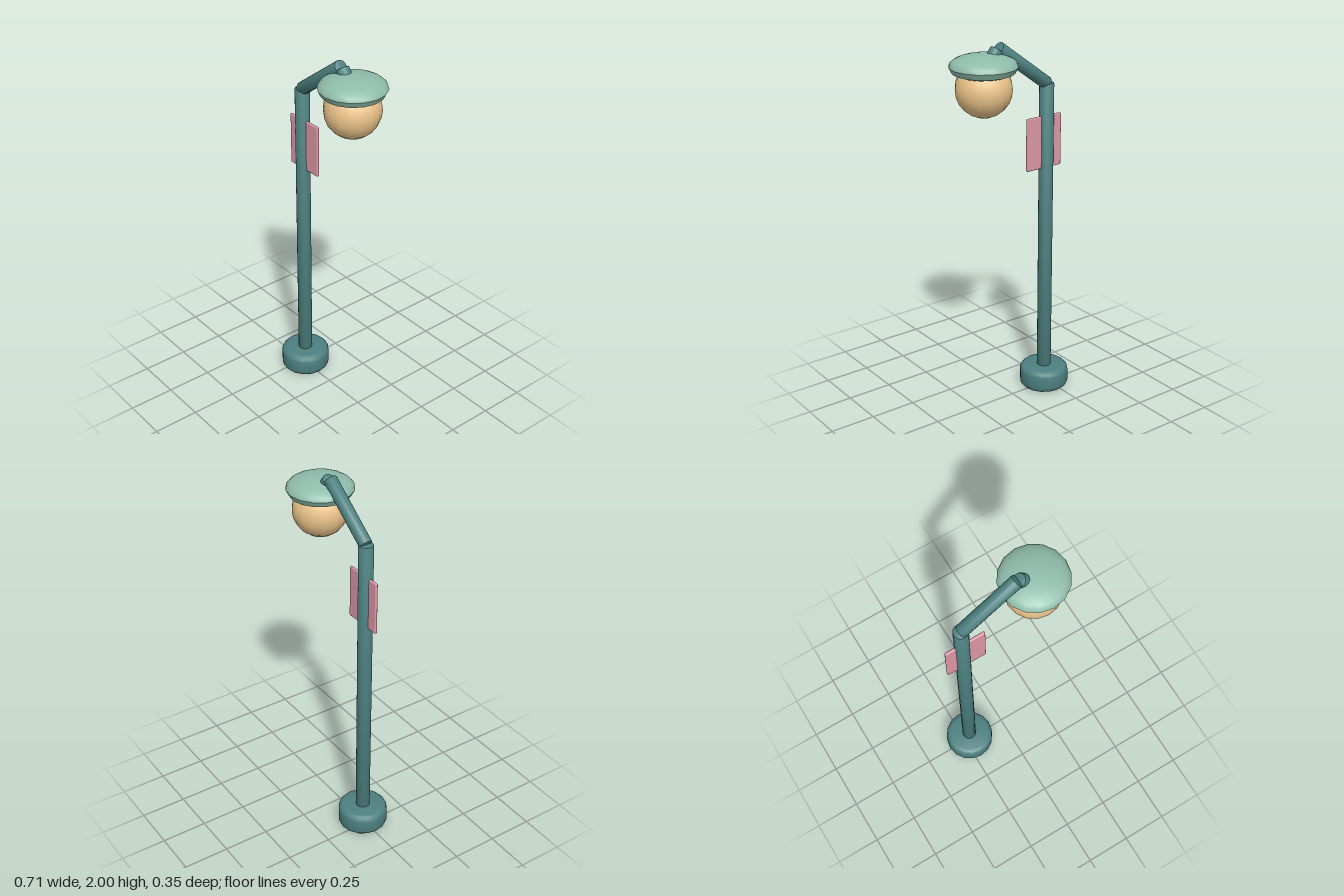
import * as THREE from 'three';
import { toCreasedNormals } from 'three/addons/utils/BufferGeometryUtils.js';
import { RoundedBoxGeometry } from 'three/addons/geometries/RoundedBoxGeometry.js';

const SIDES = 16;
const material = (color) => new THREE.MeshStandardMaterial({ color });

// Turned shape with smooth curves and sharp corners
function turned(points) {
  const profile = points.map(([r, y]) => new THREE.Vector2(r, y));
  return toCreasedNormals(new THREE.LatheGeometry(profile, SIDES), 0.7);
}

// Upright cylinder from y = 0 to y = h with rounded rims
function softCylinder(r, h, bevel, steps = 3) {
  const points = [[0, 0]];
  for (const [top, y] of [[0, bevel], [1, h - bevel]]) {
    for (let i = 0; i <= steps; i++) {
      const a = (top + i / steps - 1) * Math.PI / 2;
      points.push([r - bevel + bevel * Math.cos(a), y + bevel * Math.sin(a)]);
    }
  }
  points.push([0, h]);
  return turned(points);
}

export function createModel() {
  const group = new THREE.Group();
  const teal = material(0x4d8080);
  const mint = material(0x8fbcab);
  const amber = material(0xeec68c);
  const pink = material(0xdc98a6);

  function add(name, geometry, mat, x, y) {
    const mesh = new THREE.Mesh(geometry, mat);
    mesh.name = name;
    mesh.position.set(x, y, 0);
    group.add(mesh);
    return mesh;
  }

  // Tube running between two points in the front plane
  function addTube(name, x1, y1, x2, y2) {
    const direction = new THREE.Vector3(x2 - x1, y2 - y1, 0);
    const mesh = add(name, softCylinder(0.035, direction.length(), 0.004, 2), teal, x1, y1);
    mesh.rotation.z = -Math.atan2(direction.x, direction.y);
  }

  // Foot and post
  add('base', softCylinder(0.135, 0.125, 0.03), teal, -0.22, 0);
  add('pole', softCylinder(0.039, 1.67, 0.005, 2), teal, -0.22, 0.08);

  // Sloping arm and the short stem down into the lamp
  addTube('arm', -0.219, 1.747, 0.087, 1.972);
  addTube('lampStem', 0.096, 1.966, 0.168, 1.87);

  // Flattened shade with a flat underside
  const shade = [[0, 1.852], [0.13, 1.852], [0.158, 1.862]];
  for (let i = 0; i <= 6; i++) {
    const a = i / 6 * Math.PI / 2;
    shade.push([0.175 * Math.cos(a), 1.893 + 0.062 * Math.sin(a)]);
  }
  add('lampShade', turned(shade), mint, 0.178, 0);

  // Glowing globe
  add('lampGlobe', new THREE.SphereGeometry(0.146, SIDES, 12), amber, 0.178, 1.779);

  // Thin sign through the pole
  add('signPanel', new RoundedBoxGeometry(0.224, 0.286, 0.016, 2, 0.007), pink, -0.203, 1.432);

  return group;
}
